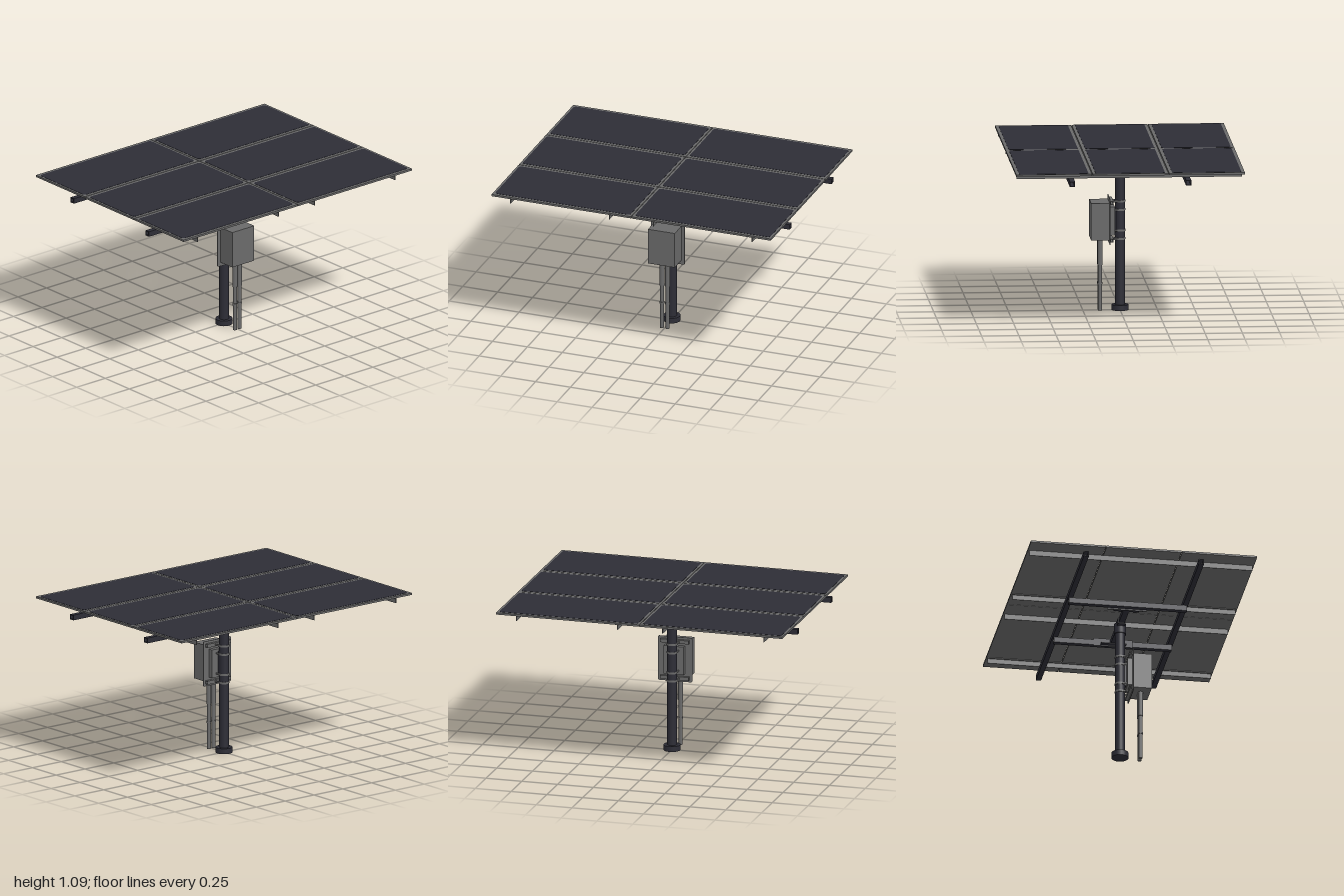
import * as THREE from 'three';

export function createModel() {
  const model = new THREE.Group();
  model.name = 'solarArray';
  const dark = new THREE.MeshStandardMaterial({ color: 0x2d2d36 });
  dark.name = 'dark navy';
  const grey = new THREE.MeshStandardMaterial({ color: 0x6a6a6a });
  grey.name = 'mid grey';

  function add(name, geometry, material, x, y, z) {
    const mesh = new THREE.Mesh(geometry, material);
    mesh.name = name;
    mesh.position.set(x, y, z);
    model.add(mesh);
    return mesh;
  }
  // Box and upright cylinder given by their lower and upper limits
  function box(name, mat, x0, x1, y0, y1, z0, z1) {
    return add(name, new THREE.BoxGeometry(x1 - x0, y1 - y0, z1 - z0), mat,
      (x0 + x1) / 2, (y0 + y1) / 2, (z0 + z1) / 2);
  }
  function post(name, mat, r, y0, y1, x = 0, z = 0) {
    return add(name, new THREE.CylinderGeometry(r, r, y1 - y0, 24), mat, x, (y0 + y1) / 2, z);
  }
  function roundedRect(w, h, r) {
    const s = new THREE.Shape();
    const corners = [[1, -1, -90], [1, 1, 0], [-1, 1, 90], [-1, -1, 180]];
    for (const [sx, sy, a] of corners) {
      const start = THREE.MathUtils.degToRad(a);
      s.absarc(sx * (w / 2 - r), sy * (h / 2 - r), r, start, start + Math.PI / 2, false);
    }
    return s;
  }
  // Square hollow section, extruded along z and centred
  function hollowTube(w, h, length) {
    const t = 0.004, a = w / 2, b = h / 2;
    const s = new THREE.Shape([[-a, -b], [a, -b], [a, b], [-a, b]].map(p => new THREE.Vector2(...p)));
    s.holes.push(new THREE.Path([[-a + t, -b + t], [-a + t, b - t], [a - t, b - t], [a - t, -b + t]]
      .map(p => new THREE.Vector2(...p))));
    return new THREE.ExtrudeGeometry(s, { depth: length, bevelEnabled: false }).translate(0, 0, -length / 2);
  }

  // Six framed panels with rounded cell areas
  const cells = new THREE.ExtrudeGeometry(roundedRect(0.968, 0.465, 0.02),
    { depth: 0.002, bevelEnabled: false, curveSegments: 5 }).rotateX(-Math.PI / 2);
  for (const x of [-0.501, 0.501]) {
    for (const z of [-0.513, 0, 0.513]) {
      box('panelFrame', grey, x - 0.499, x + 0.499, 1.077, 1.09, z - 0.254, z + 0.254);
      add('panelCells', cells, dark, x, 1.0895, z);
    }
  }

  // Angle rails beneath the panels
  for (const [x, side] of [[-0.868, 1], [-0.16, -1], [0.155, 1], [0.862, -1]]) {
    box('railWeb', grey, x - 0.0025, x + 0.0025, 1.04, 1.077, -0.757, 0.757);
    const inner = x + side * 0.009;
    box('railFlange', grey, inner - 0.0075, inner + 0.0075, 1.073, 1.077, -0.757, 0.757);
  }

  // Long beams over the two cross beams
  for (const s of [-1, 1]) {
    add('longBeam', hollowTube(0.035, 0.036, 2), dark, 0, 1.022, s * 0.39).rotation.y = Math.PI / 2;
    add('crossBeam', hollowTube(0.038, 0.038, 0.8), dark, s * 0.316, 0.984, 0);
    // Side saddles joining the cross beams to the centre arm
    box('saddlePlate', dark, s * 0.292 - 0.004, s * 0.292 + 0.004, 0.956, 1.01, -0.133, 0.133);
    box('saddleFoot', dark, s * 0.275 - 0.02, s * 0.275 + 0.02, 0.963, 0.968, -0.085, 0.085);
  }
  box('centreArm', dark, -0.292, 0.292, 0.966, 1.0, -0.02, 0.02);
  box('centreSleeve', dark, -0.075, 0.075, 0.96, 1.003, -0.025, 0.025);

  // Pole, top socket and foot
  post('pole', dark, 0.033, 0, 0.97);
  post('poleSocket', dark, 0.041, 0.912, 0.985);
  post('poleFoot', dark, 0.057, 0, 0.037);

  // Cabinet on its back plate, with the smaller box behind
  box('cabinet', grey, -0.096, 0.096, 0.487, 0.738, 0.076, 0.2);
  add('cabinetBackPlate', new THREE.ExtrudeGeometry(roundedRect(0.24, 0.31, 0.01),
    { depth: 0.004, bevelEnabled: false }), grey, 0, 0.613, 0.072);
  box('rearBox', grey, -0.07, 0.07, 0.515, 0.71, 0.04, 0.072);
  box('rearBoxSaddle', dark, -0.02, 0.02, 0.53, 0.695, 0.028, 0.04);

  // Struts and pole clamps
  for (const y of [0.74, 0.485]) {
    add('mountStrut', hollowTube(0.022, 0.024, 0.2), grey, 0, y, 0.061).rotation.y = Math.PI / 2;
  }
  for (const y of [0.74, 0.682, 0.542, 0.485]) {
    post('poleClamp', grey, 0.0355, y - 0.007, y + 0.007);
    for (const s of [-1, 1]) {
      box('clampEar', grey, s * 0.032 - 0.004, s * 0.032 + 0.004, y - 0.005, y + 0.005, 0, 0.05);
    }
  }

  // Twin conduits from the cabinet down to the ground
  for (const x of [-0.02, 0.02]) {
    post('conduitUpper', grey, 0.0165, 0.31, 0.487, x, 0.136);
    post('conduitLower', grey, 0.0135, 0, 0.31, x, 0.136);
    post('conduitCollar', grey, 0.016, 0.178, 0.192, x, 0.136);
  }
  return model;
}
